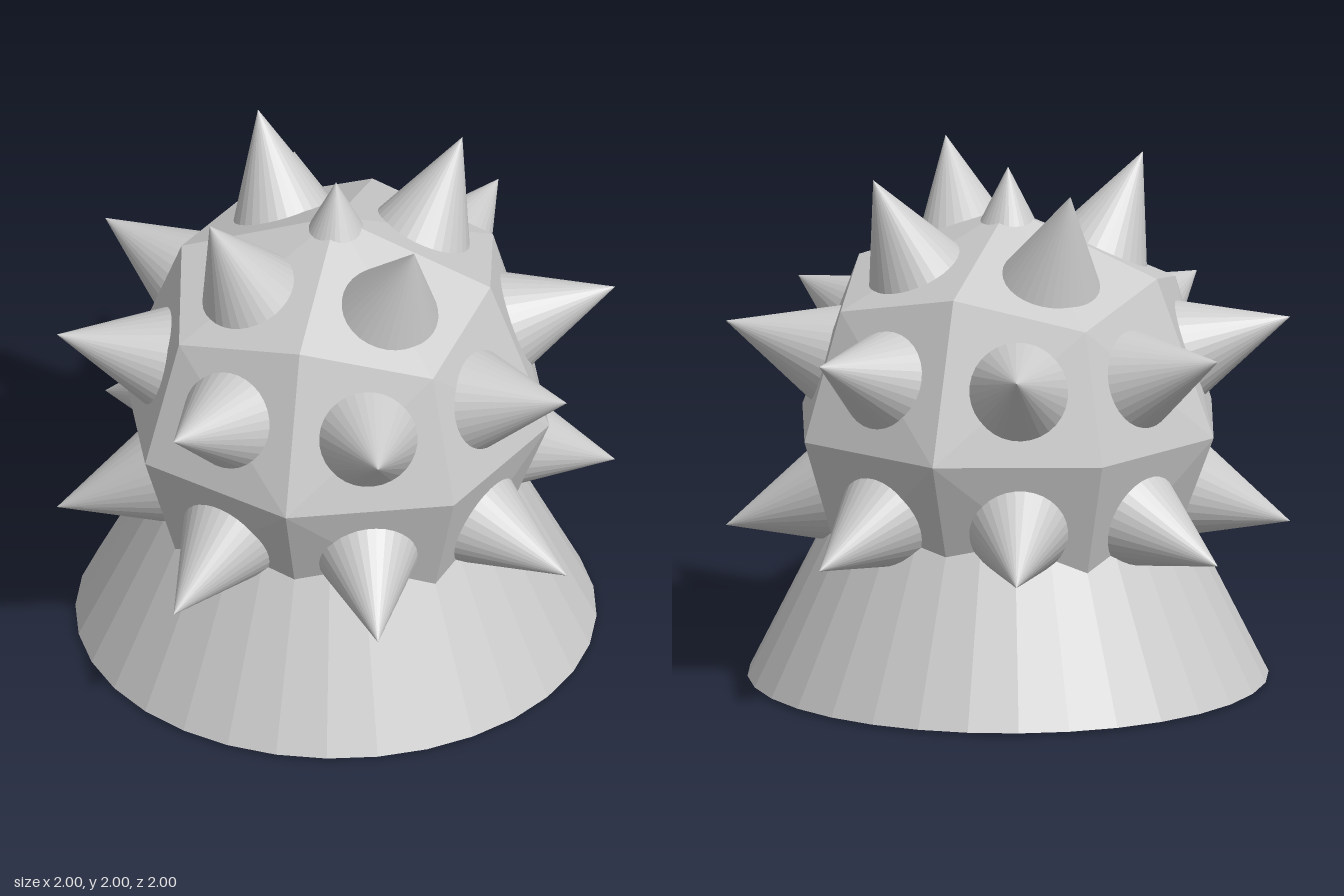
import * as THREE from 'three';
import { ConvexGeometry } from 'three/addons/geometries/ConvexGeometry.js';

const SIDES = 32;
const CENTRE_Y = 1;

export function createModel() {
  const model = new THREE.Group();
  model.name = 'spikedBall';
  const material = new THREE.MeshStandardMaterial({ color: 0xcccccc, flatShading: true });

  const add = (name, geometry) => {
    const mesh = new THREE.Mesh(geometry, material);
    mesh.name = name;
    model.add(mesh);
    return mesh;
  };

  // Ball: a cube split 2 x 2 per face and rounded out (face, edge and corner points)
  const distance = [0, 0.834, 0.604, 0.497];
  const points = [];
  for (const x of [-1, 0, 1]) for (const y of [-1, 0, 1]) for (const z of [-1, 0, 1]) {
    const axes = Math.abs(x) + Math.abs(y) + Math.abs(z);
    if (axes) points.push(new THREE.Vector3(x, y, z).multiplyScalar(distance[axes]));
  }
  add('ball', new ConvexGeometry(points)).position.y = CENTRE_Y;

  // Large cone: skirt below the ball, its point pierces the top
  const coneHeight = 1.983;
  add('baseCone', new THREE.ConeGeometry(0.993, coneHeight, SIDES)).position.y = 0.012 + coneHeight / 2;

  // Spikes: one on each of the 24 facets, origin at the tip
  const height = 0.5;
  const spikeGeometry = new THREE.ConeGeometry(0.236, height, SIDES).translate(0, -height / 2, 0);
  const up = new THREE.Vector3(0, 1, 0);
  for (let axis = 0; axis < 3; axis++) {
    for (const s of [-1, 1]) for (const a of [-1, 1]) for (const b of [-1, 1]) {
      const place = (along, across) => {
        const v = new THREE.Vector3();
        v.setComponent(axis, s * along);
        v.setComponent((axis + 1) % 3, a * across);
        v.setComponent((axis + 2) % 3, b * across);
        return v;
      };
      const spike = add('spike', spikeGeometry);
      spike.position.copy(place(0.998, 0.4));
      spike.position.y += CENTRE_Y;
      spike.quaternion.setFromUnitVectors(up, place(1, 0.34).normalize());
    }
  }
  return model;
}
